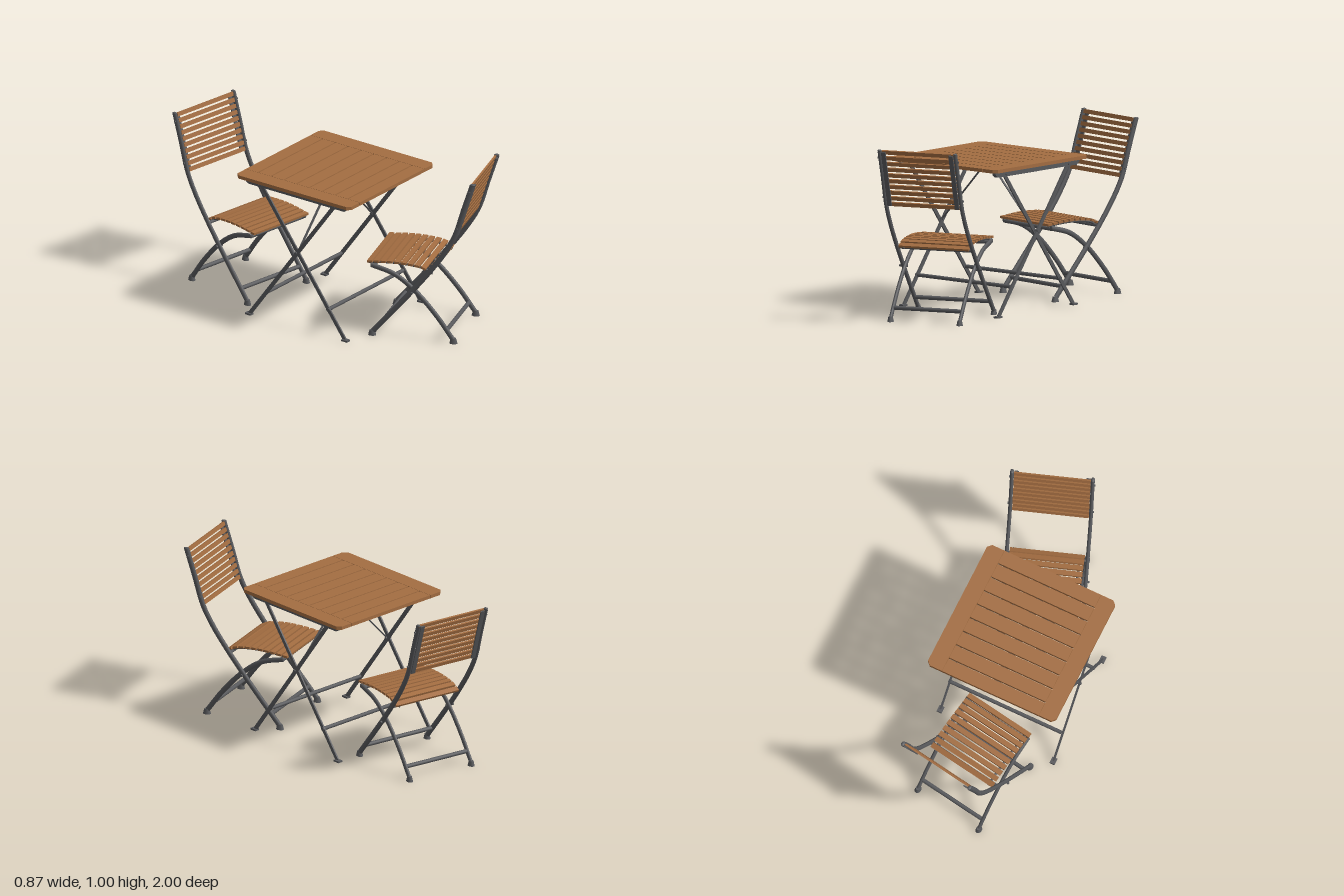
import * as THREE from 'three';

const wood = new THREE.MeshStandardMaterial({ color: 0xa36d41 });
wood.name = 'wood';
const metal = new THREE.MeshStandardMaterial({ color: 0x58595c });
metal.name = 'dark metal';

function add(parent, name, geometry, material, x = 0, y = 0, z = 0) {
  const mesh = new THREE.Mesh(geometry, material);
  mesh.name = name;
  mesh.position.set(x, y, z);
  parent.add(mesh);
  return mesh;
}

const box = (w, h, d) => new THREE.BoxGeometry(w, h, d);

// Curve in the side plane from [z, y] pairs
const sideCurve = (pts) =>
  new THREE.CatmullRomCurve3(pts.map(([z, y]) => new THREE.Vector3(0, y, z)));

// Oval bar: a tube squeezed sideways
function ovalBar(curve, radius, squeeze) {
  return new THREE.TubeGeometry(curve, 40, radius, 12).scale(squeeze, 1, 1);
}

// Round bar running across, along x
function crossBar(parent, name, length, radius, x, y, z) {
  add(parent, name, new THREE.CylinderGeometry(radius, radius, length, 12), metal, x, y, z)
    .rotation.z = Math.PI / 2;
}

// Flat bar between two points, given its width in x and depth in the other direction
function flatBar(parent, name, a, b, w, d) {
  const dir = new THREE.Vector3().subVectors(b, a);
  const mesh = add(parent, name, box(w, dir.length(), d), metal);
  mesh.position.addVectors(a, b).multiplyScalar(0.5);
  mesh.quaternion.setFromUnitVectors(new THREE.Vector3(0, 1, 0), dir.normalize());
}

// Folding chair: faces +z, with the top of its back over the origin
function makeChair(name) {
  const chair = new THREE.Group();
  chair.name = name;

  const longCurve = sideCurve([[0, 0.994], [0.052, 0.835], [0.106, 0.665],
    [0.17, 0.55], [0.255, 0.43], [0.37, 0.285], [0.59, 0.025]]);
  const shortCurve = sideCurve([[0.125, 0.025], [0.22, 0.155], [0.35, 0.295],
    [0.47, 0.38], [0.605, 0.42]]);
  const longGeo = ovalBar(longCurve, 0.0155, 0.7);
  const shortGeo = ovalBar(shortCurve, 0.0145, 0.7);
  const capGeo = new THREE.SphereGeometry(0.0155, 12, 8).scale(0.7, 0.4, 1);
  const footGeo = new THREE.CylinderGeometry(0.016, 0.024, 0.03, 12).scale(0.75, 1, 1);

  for (const s of [-1, 1]) {
    add(chair, 'backPost', longGeo, metal, s * 0.23, 0, 0);
    add(chair, 'postCap', capGeo, metal, s * 0.23, 0.994, 0);
    add(chair, 'frontFoot', footGeo, metal, s * 0.23, 0.015, 0.595);
    add(chair, 'curvedLeg', shortGeo, metal, s * 0.21, 0, 0);
    add(chair, 'legEnd', capGeo, metal, s * 0.21, 0.42, 0.605).rotation.x = Math.PI / 2;
    add(chair, 'rearFoot', footGeo, metal, s * 0.21, 0.015, 0.12);
    crossBar(chair, 'pivotBolt', 0.05, 0.007, s * 0.225, 0.288, 0.358);
    for (const y of [0.95, 0.715])
      crossBar(chair, 'backBolt', 0.03, 0.006, s * 0.231, y, (1 - y) * 0.315);
    // strip behind the back slats
    add(chair, 'backStrip', box(0.026, 0.335, 0.008), metal, s * 0.205, 0.827, 0.044)
      .rotation.x = -0.305;
  }

  crossBar(chair, 'frontFootBar', 0.45, 0.012, 0, 0.083, 0.54);
  crossBar(chair, 'rearFootBar', 0.41, 0.012, 0, 0.075, 0.16);
  crossBar(chair, 'seatFrontBar', 0.41, 0.011, 0, 0.412, 0.595);
  crossBar(chair, 'seatRearBar', 0.45, 0.009, 0, 0.405, 0.275);

  // Back slats
  for (let i = 0; i < 10; i++) {
    const y = 0.984 - i * 0.0342;
    add(chair, 'backSlat', box(0.436, 0.023, 0.011), wood, 0, y, (1 - y) * 0.315 + 0.003)
      .rotation.x = -0.305;
  }

  // Seat slats follow a gently curved line
  const seatCurve = sideCurve([[0.25, 0.413], [0.305, 0.438], [0.4, 0.45],
    [0.5, 0.45], [0.63, 0.438]]);
  for (let i = 0; i < 10; i++) {
    const t = 0.035 + (i / 9) * 0.93;
    const p = seatCurve.getPointAt(t);
    const d = seatCurve.getTangentAt(t);
    add(chair, 'seatSlat', box(0.426, 0.013, 0.03), wood, 0, p.y, p.z)
      .rotation.x = -Math.atan2(d.y, d.z);
  }
  const railGeo = ovalBar(seatCurve, 0.007, 1);
  for (const s of [-1, 1]) add(chair, 'seatRail', railGeo, metal, s * 0.185, -0.012, 0);
  return chair;
}

// Folding table, centred on its own origin
function makeTable() {
  const table = new THREE.Group();
  table.name = 'table';
  const half = 0.403, inner = 0.305, cut = 0.022, top = 0.855, thick = 0.02;

  // End boards with clipped outer corners
  const shape = new THREE.Shape();
  shape.moveTo(inner, -half);
  shape.lineTo(half - cut, -half);
  shape.lineTo(half, -half + cut);
  shape.lineTo(half, half - cut);
  shape.lineTo(half - cut, half);
  shape.lineTo(inner, half);
  const endGeo = new THREE.ExtrudeGeometry(shape, { depth: thick, bevelEnabled: false })
    .rotateX(Math.PI / 2);
  add(table, 'endBoard', endGeo, wood, 0, top, 0);
  add(table, 'endBoard', endGeo, wood, 0, top, 0).rotation.y = Math.PI;

  // Slats between the end boards
  const pitch = (half * 2 + 0.008) / 9;
  for (let i = 0; i < 9; i++)
    add(table, 'tableSlat', box(inner * 2 - 0.004, thick, pitch - 0.008), wood,
      0, top - thick / 2, (i - 4) * pitch);

  // Bevel-ended rail, drawn in the side plane
  const rail = new THREE.Shape();
  rail.moveTo(-0.36, 0.835);
  rail.lineTo(-0.36, 0.82);
  rail.lineTo(-0.34, 0.803);
  rail.lineTo(0.34, 0.803);
  rail.lineTo(0.36, 0.82);
  rail.lineTo(0.36, 0.835);
  const railGeo = new THREE.ExtrudeGeometry(rail, { depth: 0.026, bevelEnabled: false })
    .translate(0, 0, -0.013).rotateY(Math.PI / 2);
  add(table, 'centreBar', box(0.035, 0.014, 0.68), metal, 0, 0.828, 0);

  const v = (x, y, z) => new THREE.Vector3(x, y, z);
  for (const s of [-1, 1]) {
    const x = s * 0.355;
    add(table, 'sideRail', railGeo, metal, x, 0, 0);
    // crossed legs, side by side
    for (const k of [-1, 1]) {
      const lx = x + k * 0.0085;
      flatBar(table, 'leg', v(lx, 0.008, k * 0.33), v(lx, 0.82, k * -0.27), 0.009, 0.022);
      add(table, 'footPad', box(0.03, 0.01, 0.04), metal, lx, 0.005, k * 0.335);
      crossBar(table, 'railBolt', 0.036, 0.007, x, 0.815, k * 0.268);
    }
    crossBar(table, 'pivotBolt', 0.04, 0.008, x, 0.462, 0);
    // thin diagonal brace up to the middle
    flatBar(table, 'brace', v(x - s * 0.01, 0.465, 0), v(s * 0.012, 0.822, 0), 0.004, 0.014);
    crossBar(table, 'stretcher', 0.71, 0.011, 0, 0.165, s * 0.214);
  }
  return table;
}

export function createModel() {
  const model = new THREE.Group();
  model.name = 'gardenSet';

  const table = makeTable();
  table.position.set(-0.03, 0, 0.025);

  const rearChair = makeChair('rearChair');
  rearChair.position.set(0.032, 0, -0.95);
  rearChair.rotation.y = -0.16;

  const frontChair = makeChair('frontChair');
  frontChair.position.set(0.205, 0, 0.907);
  frontChair.rotation.y = Math.PI + 0.34;

  model.add(table, rearChair, frontChair);
  return model;
}
